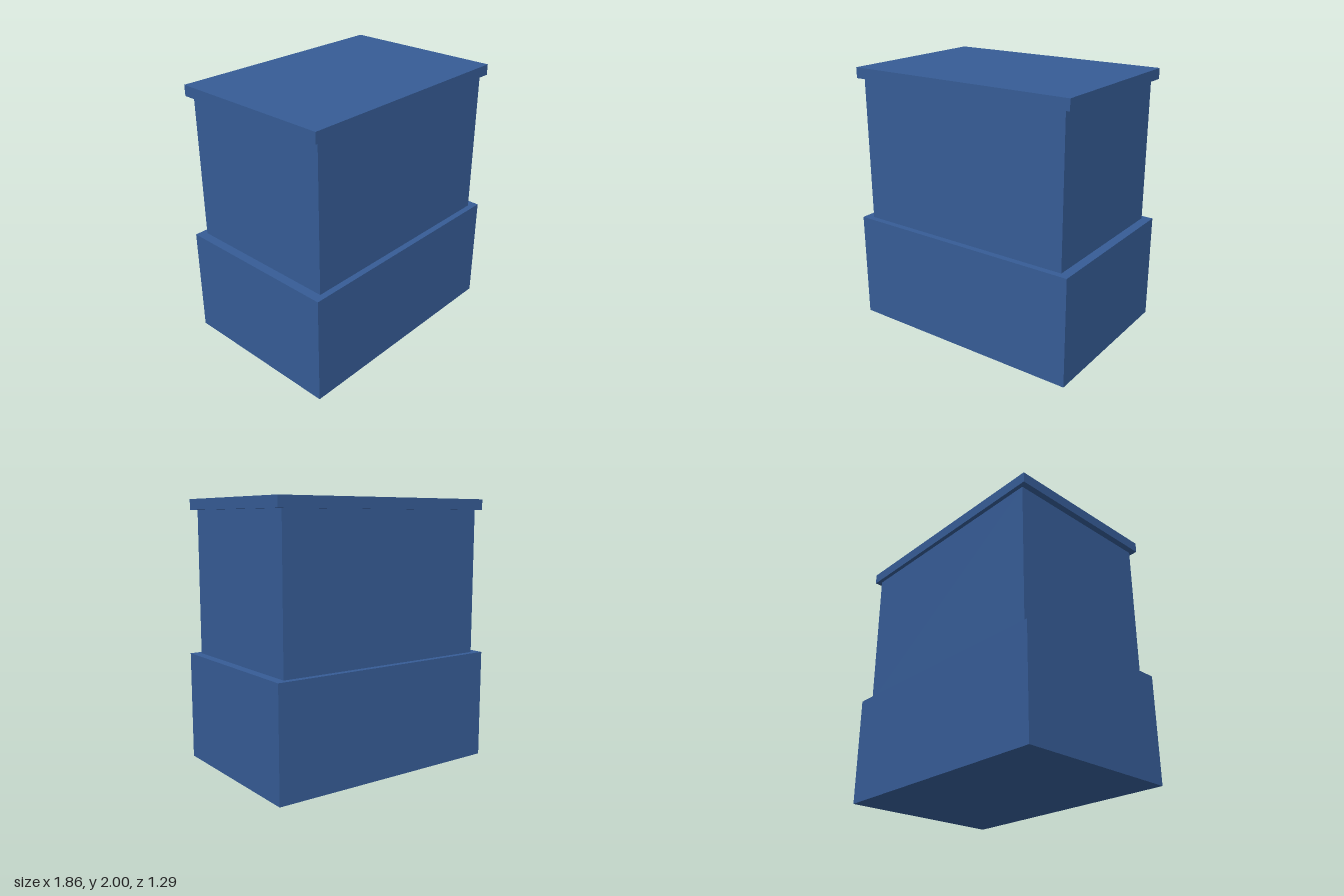
import * as THREE from 'three';

export function createModel() {
  const model = new THREE.Group();
  model.name = 'steppedCabinet';

  const blue = new THREE.MeshStandardMaterial({ color: 0x365c96 });
  blue.name = 'blue';

  // A centred block spanning the heights y0 to y1
  function block(name, width, depth, y0, y1) {
    const mesh = new THREE.Mesh(new THREE.BoxGeometry(width, y1 - y0, depth), blue);
    mesh.name = name;
    mesh.position.y = (y0 + y1) / 2;
    model.add(mesh);
  }

  block('base', 1.86, 1.29, 0, 0.825); // wide plinth
  block('body', 1.72, 1.196, 0.825, 1.92); // narrower upper body
  block('lid', 1.814, 1.258, 1.92, 2); // thin overhanging top

  return model;
}
